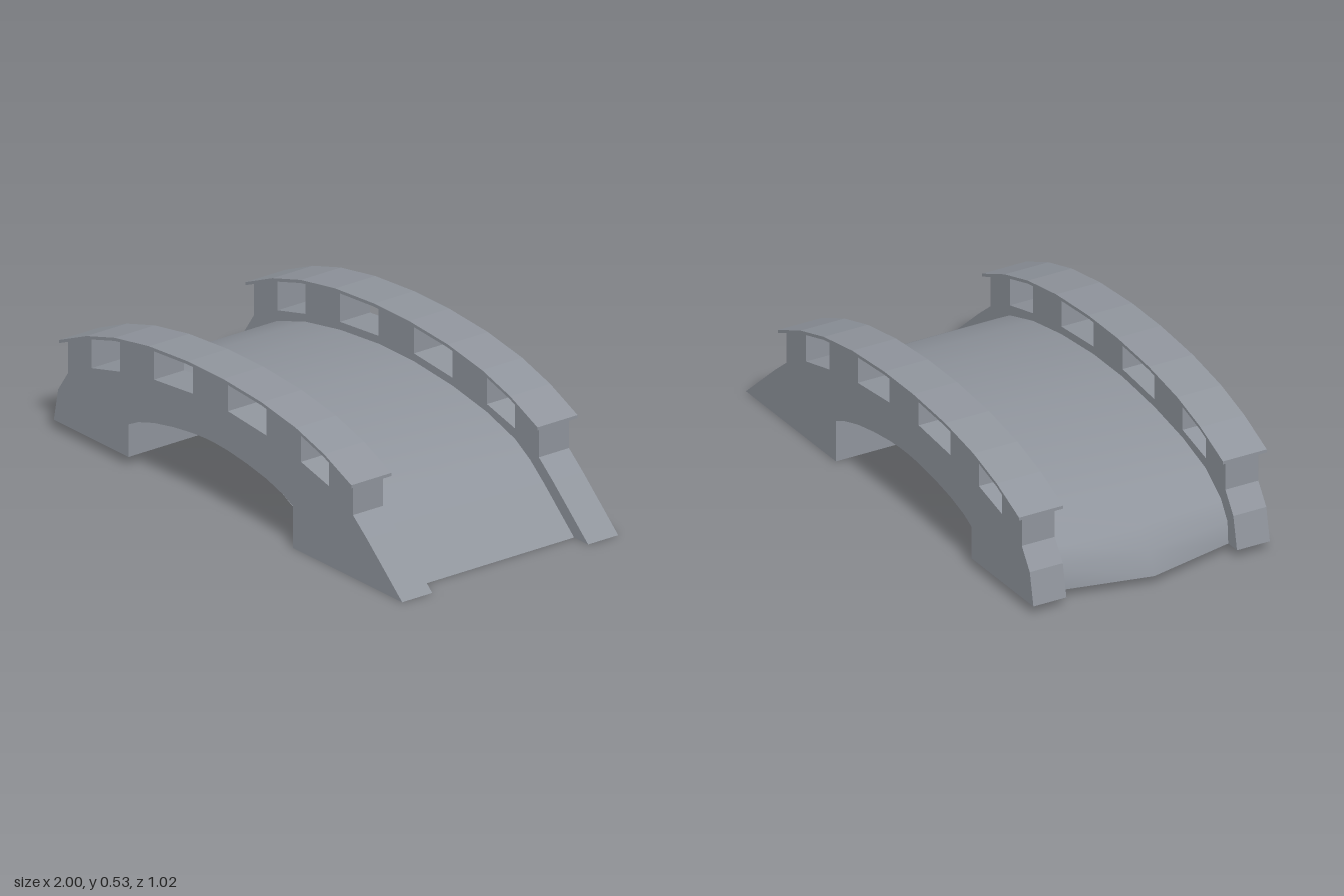
import * as THREE from 'three';

const stone = new THREE.MeshStandardMaterial({ color: 0x90959d, side: THREE.DoubleSide });
stone.name = 'grey stone';

const WALL_OUT = 0.485, WALL_IN = 0.35, MID = -0.09;

// Completes a left half of a profile by mirroring it about the crown of the arch
const mirrorX = (pts) => [...pts, ...pts.map(([x, y]) => [2 * MID - x, y]).reverse()];

// Sheet that follows a profile across the z stations; bulge shifts x per row and station
function sheet(pts, zs, bulge = () => 0) {
  const pos = [], idx = [], n = zs.length;
  pts.forEach(([x, y], i) => zs.forEach((z, j) => pos.push(x + bulge(i, j), y, z)));
  for (let i = 0; i < pts.length - 1; i++) {
    for (let j = 0; j < n - 1; j++) {
      const a = i * n + j;
      idx.push(a, a + 1, a + n, a + 1, a + n + 1, a + n);
    }
  }
  const g = new THREE.BufferGeometry();
  g.setAttribute('position', new THREE.Float32BufferAttribute(pos, 3));
  g.setIndex(idx);
  g.computeVertexNormals();
  return g;
}

function faceted(g) {
  const f = g.toNonIndexed();
  f.computeVertexNormals();
  return f;
}

const toShape = (pts) => new THREE.Shape(pts.map(([x, y]) => new THREE.Vector2(x, y)));

function add(group, name, geometry, z = 0) {
  const mesh = new THREE.Mesh(geometry, stone);
  mesh.name = name;
  mesh.position.z = z;
  group.add(mesh);
}

export function createModel() {
  const bridge = new THREE.Group();
  bridge.name = 'archedBridge';

  // Parapet outline with four notches, from the left foot to the ramp tip
  const crest = mirrorX([
    [-0.9, 0.361], [-0.765, 0.422], [-0.765, 0.305], [-0.605, 0.345], [-0.605, 0.469],
    [-0.41, 0.502], [-0.41, 0.38], [-0.19, 0.4], [-0.19, 0.518],
  ]);
  const outline = [[-0.98, 0.035], [-0.955, 0.16], [-0.9, 0.24], ...crest,
    [0.72, 0.24], [0.8, 0.175], [1, 0]];

  // Arch underside
  const soffit = mirrorX([[-0.555, 0.16], [-0.5, 0.187], [-0.41, 0.214], [-0.3, 0.235],
    [-0.19, 0.249], [-0.12, 0.253]]);
  const legs = [[[-0.555, 0.035], [-0.555, 0.16]], [[0.38, 0.16], [0.38, 0]]];

  // Walkway between the parapets
  const deck = [[-0.92, 0.035], [-0.915, 0.12], [-0.87, 0.19], [-0.765, 0.265], [-0.605, 0.315],
    [-0.41, 0.35], [-0.19, 0.37], [0.01, 0.37], [0.23, 0.35], [0.425, 0.315],
    [0.585, 0.265], [0.67, 0.215], [0.75, 0.15], [0.92, 0]];

  // Thin coping on each parapet
  const copingTop = mirrorX([[-0.92, 0.367], [-0.765, 0.434], [-0.605, 0.481],
    [-0.41, 0.514], [-0.19, 0.53]]);
  const copingShape = toShape([...copingTop,
    ...copingTop.map(([x, y]) => [x, y - 0.012]).reverse()]);

  // Pointed left end of the walkway
  const bulges = [-0.08, -0.05, -0.02];
  add(bridge, 'deck', sheet(deck, [-WALL_IN, 0, WALL_IN],
    (i, j) => (j === 1 ? bulges[i] || 0 : 0)));
  add(bridge, 'archUnderside', sheet(soffit, [-WALL_OUT, WALL_OUT]));
  for (const leg of legs) add(bridge, 'abutmentFace', sheet(leg, [-WALL_OUT, WALL_OUT]));

  const outer = new THREE.ShapeGeometry(toShape(
    [...outline, ...legs[1].slice().reverse(), ...soffit.slice(1, -1).reverse(),
      ...legs[0].slice().reverse()]));
  const inner = new THREE.ShapeGeometry(toShape([...outline, ...deck.slice().reverse()]));

  for (const side of [1, -1]) {
    const parapet = new THREE.Group();
    parapet.name = side > 0 ? 'frontParapet' : 'backParapet';
    add(parapet, 'outerFace', outer, side * WALL_OUT);
    add(parapet, 'innerFace', inner, side * WALL_IN);
    const zs = side > 0 ? [WALL_IN, WALL_OUT] : [-WALL_OUT, -WALL_IN];
    add(parapet, 'wallEdge', faceted(sheet(outline, zs)));
    add(parapet, 'coping', new THREE.ExtrudeGeometry(copingShape,
      { depth: 0.18, bevelEnabled: false }), side > 0 ? 0.328 : -0.508);
    bridge.add(parapet);
  }
  return bridge;
}
